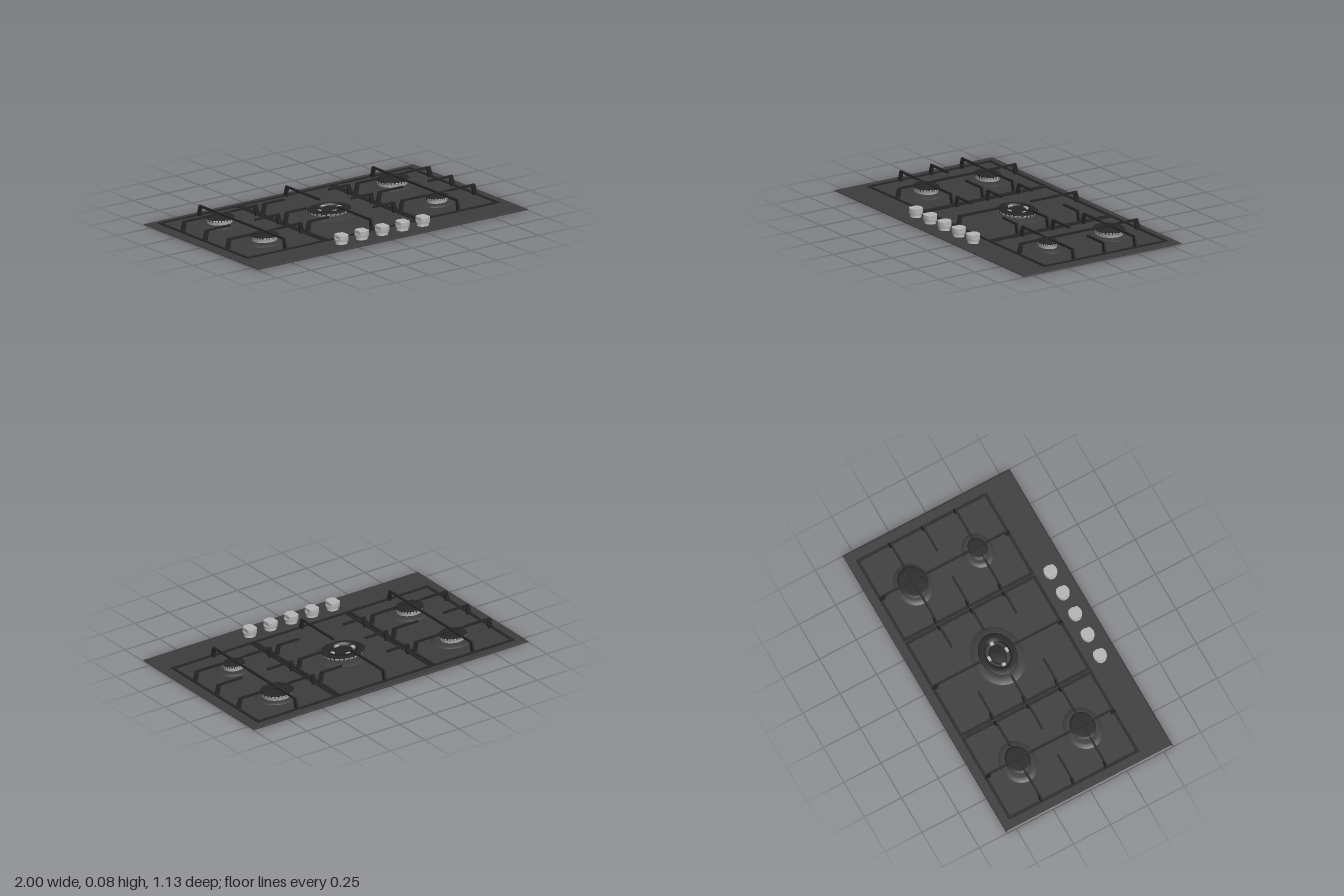
import * as THREE from 'three';

const enamel = new THREE.MeshStandardMaterial({ color: 0x3c3c3c });
const iron = new THREE.MeshStandardMaterial({ color: 0x262626 });
const steel = new THREE.MeshStandardMaterial({ color: 0xb4b4b4 });

function add(parent, name, geometry, material, x = 0, y = 0, z = 0) {
  const mesh = new THREE.Mesh(geometry, material);
  mesh.name = name;
  mesh.position.set(x, y, z);
  parent.add(mesh);
  return mesh;
}

function group(parent, name, x = 0, z = 0) {
  const g = new THREE.Group();
  g.name = name;
  g.position.set(x, 0, z);
  parent.add(g);
  return g;
}

const lathe = (points, segments = 48) =>
  new THREE.LatheGeometry(points.map(([r, y]) => new THREE.Vector2(r, y)), segments);

// Thin plate with chamfered edges
function basePlate(parent) {
  const s = new THREE.Shape();
  s.moveTo(-0.99, -0.555).lineTo(0.99, -0.555).lineTo(0.99, 0.555).lineTo(-0.99, 0.555).closePath();
  const geo = new THREE.ExtrudeGeometry(s, {
    depth: 0.004, bevelEnabled: true, bevelThickness: 0.004, bevelSize: 0.01, bevelSegments: 1,
  });
  geo.rotateX(-Math.PI / 2).translate(0, 0.004, 0);
  add(parent, 'basePlate', geo, enamel);
}

// Raised support arm: sloping foot and level bar; angle 0 points along +x
function arm(parent, x, z, angle, length, width = 0.012) {
  const s = new THREE.Shape();
  s.moveTo(0, 0.011).lineTo(0.032, 0.011).lineTo(0.042, 0.068)
    .lineTo(length, 0.068).lineTo(length, 0.08).lineTo(0.02, 0.08).closePath();
  const geo = new THREE.ExtrudeGeometry(s, { depth: width, bevelEnabled: false });
  geo.translate(0, 0, -width / 2).rotateY(angle);
  add(parent, 'supportArm', geo, iron, x, 0, z);
}

// Low rectangular rail around one grate
function rail(parent, x0, x1, z0, z1) {
  const w = 0.018, cx = (x0 + x1) / 2, cz = (z0 + z1) / 2;
  for (const z of [z0 + w / 2, z1 - w / 2])
    add(parent, 'railLong', new THREE.BoxGeometry(x1 - x0, 0.007, w), iron, cx, 0.0145, z);
  for (const x of [x0 + w / 2, x1 - w / 2])
    add(parent, 'railSide', new THREE.BoxGeometry(w, 0.007, z1 - z0 - 2 * w), iron, x, 0.0145, cz);
}

const Z0 = -0.512, Z1 = 0.372, ROWS = [-0.29, -0.07, 0.15];

function sideGrate(parent, side) {
  const g = group(parent, side < 0 ? 'rightGrate' : 'leftGrate');
  const x0 = side < 0 ? -0.935 : 0.348, x1 = x0 + 0.587, cx = side * 0.642;
  rail(g, x0, x1, Z0, Z1);
  arm(g, cx, Z0, -Math.PI / 2, 0.442);
  arm(g, cx, Z1, Math.PI / 2, 0.442);
  for (const z of ROWS) {
    arm(g, x0, z, 0, 0.2);
    arm(g, x1, z, Math.PI, 0.2);
    // Slim bridge over each burner
    if (z !== -0.07)
      add(g, 'burnerBridge', new THREE.BoxGeometry(0.2, 0.008, 0.006), iron, cx, 0.074, z);
  }
}

function centreGrate(parent) {
  const g = group(parent, 'centreGrate');
  rail(g, -0.341, 0.341, Z0, Z1);
  arm(g, 0, Z0, -Math.PI / 2, 0.35);
  arm(g, 0, Z1, Math.PI / 2, 0.35);
  for (const z of ROWS) {
    arm(g, -0.341, z, 0, 0.177);
    arm(g, 0.341, z, Math.PI, 0.177);
  }
}

// Oval dish, slotted steel crown and dark cap
function burner(parent, x, z, rx, rz, dishX, dishZ, top, ringed) {
  const g = group(parent, ringed ? 'centreBurner' : 'burner', x, z);
  const dish = add(g, 'dish', lathe([[1, 0.01], [0.93, 0.017], [0.82, 0.02], [0.74, 0.023], [0, 0.023]].reverse()
    .map(([r, y]) => [r, y]).reverse()), enamel);
  dish.material = enamel.clone();
  dish.material.side = THREE.DoubleSide;
  dish.scale.set(dishX, 1, dishZ);

  const inner = ringed ? 0.62 : 0;
  const crown = group(g, 'crown');
  crown.scale.set(rx, 1, rz);
  const wall = [[0.88, 0.02], [0.9, top - 0.02], [0.98, top - 0.012], [0.98, top - 0.005], [0.9, top - 0.005]];
  add(crown, 'flameRing', lathe(wall), steel);
  const cap = [[0.98, top - 0.006], [1, top - 0.004], [0.97, top], [0.8, top + 0.002], [inner, top + 0.002]];
  if (ringed) cap.push([inner, 0.023]);
  add(crown, 'cap', lathe(cap), iron);

  // Flame slots around the crown
  const slots = 28;
  for (let i = 0; i < slots; i++) {
    const a = (i / slots) * Math.PI * 2;
    const slot = add(crown, 'flameSlot', new THREE.BoxGeometry(0.05, 0.008, 0.07), iron,
      Math.sin(a) * 0.955, top - 0.01, Math.cos(a) * 0.955);
    slot.rotation.y = a;
  }
  if (!ringed) return;

  // Inner burner, joined to the ring by four steel bridges
  add(crown, 'innerRing', lathe([[0.44, 0.02], [0.46, top - 0.006], [0.42, top - 0.002], [0, top]]), iron);
  for (let i = 0; i < 4; i++) {
    const a = (i * Math.PI) / 2;
    const bridge = add(crown, 'innerBridge', new THREE.BoxGeometry(0.2, 0.014, 0.16), steel,
      Math.sin(a) * 0.53, top - 0.007, Math.cos(a) * 0.53);
    bridge.rotation.y = a;
  }
}

// Oval knob: narrow collar, wide skirt and a flat-sided grip
function knob(parent, x) {
  const g = group(parent, 'knob', x, 0.455);
  const collar = add(g, 'collar', new THREE.CylinderGeometry(0.03, 0.033, 0.02, 32), steel, 0, 0.02, 0);
  collar.scale.x = 1.15;
  const skirt = add(g, 'skirt', new THREE.CylinderGeometry(0.04, 0.038, 0.016, 32), steel, 0, 0.036, 0);
  skirt.scale.x = 1.12;
  const s = new THREE.Shape();
  const a0 = Math.acos(0.75);
  s.absellipse(0, 0, 0.045, 0.04, a0, Math.PI - a0, false);
  s.absellipse(0, 0, 0.045, 0.04, Math.PI + a0, 2 * Math.PI - a0, false);
  s.closePath();
  const geo = new THREE.ExtrudeGeometry(s, {
    depth: 0.022, bevelEnabled: true, bevelThickness: 0.002, bevelSize: 0.002, bevelOffset: -0.002, bevelSegments: 2,
  });
  geo.rotateX(-Math.PI / 2);
  add(g, 'grip', geo, steel, 0, 0.044, 0);
}

export function createModel() {
  const model = new THREE.Group();
  model.name = 'gasHob';
  basePlate(model);
  sideGrate(model, -1);
  sideGrate(model, 1);
  centreGrate(model);

  burner(model, -0.642, -0.29, 0.09, 0.075, 0.14, 0.115, 0.058);
  burner(model, -0.642, 0.15, 0.09, 0.075, 0.14, 0.115, 0.058);
  burner(model, 0.638, -0.29, 0.105, 0.09, 0.14, 0.115, 0.058);
  burner(model, 0.638, 0.15, 0.072, 0.057, 0.115, 0.095, 0.058);
  burner(model, 0, -0.068, 0.14, 0.112, 0.195, 0.16, 0.046, true);

  for (let i = -2; i <= 2; i++) knob(model, i * 0.151);
  return model;
}
